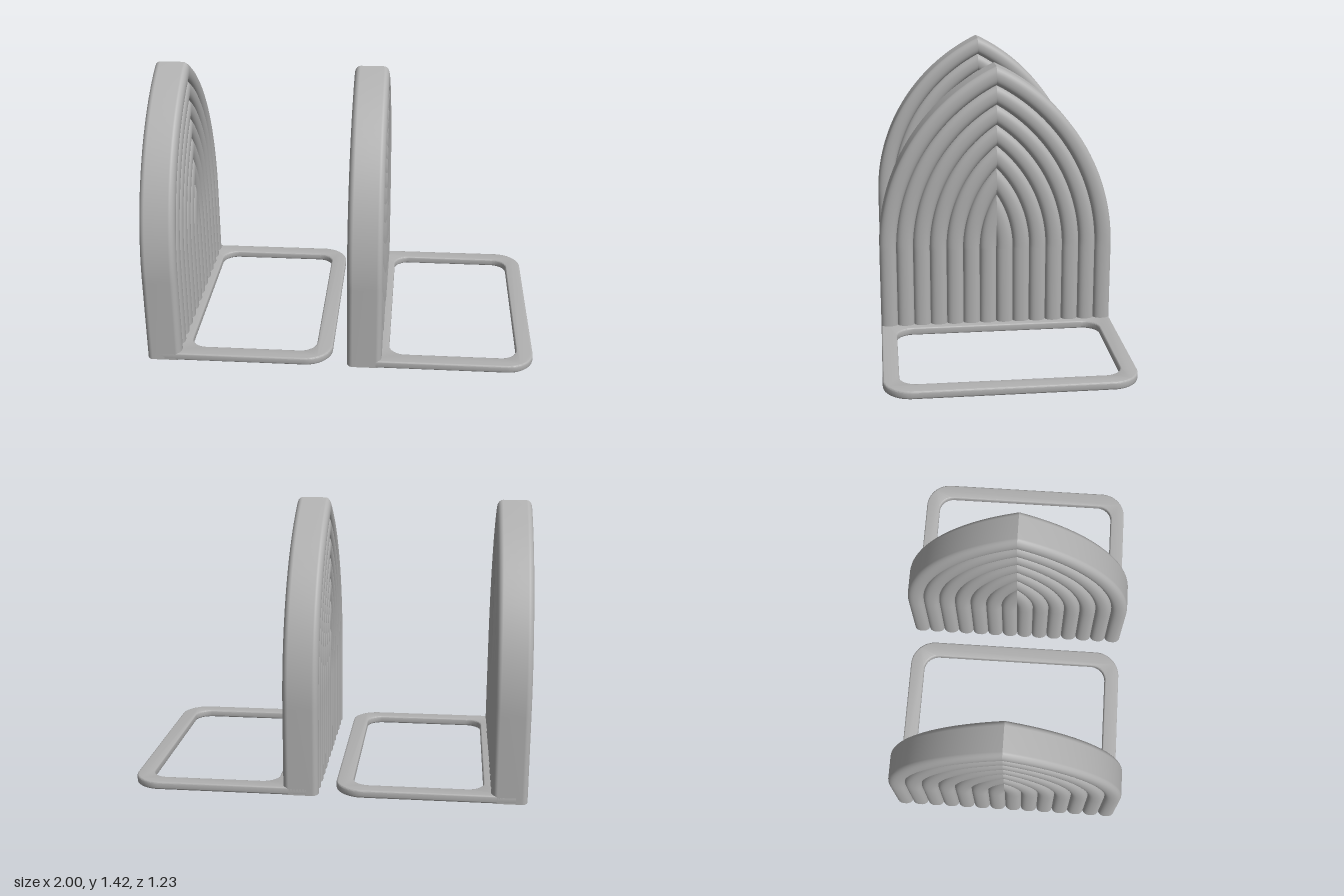
import * as THREE from 'three';
import { mergeGeometries, toCreasedNormals } from 'three/addons/utils/BufferGeometryUtils.js';

const HALF = 0.615;          // half width of the arch
const SPRING = 0.45;         // height where the sides begin to curve
const APEX = 1.42;
const RISE = APEX - SPRING;
const R = (HALF * HALF + RISE * RISE) / (2 * HALF);  // arc radius of the pointed arch
const RIDGES = 7, PITCH = HALF / RIDGES;
const THICK = 0.18, DEPTH = 0.03;                    // slab thickness, groove depth
const LENGTH = 0.96, BASE_H = 0.04;

// Half-round ridge profile from its inner groove to its outer one: [inset, x]
function ridgeProfile(k, steps = 12) {
  const pts = [];
  for (let i = 0; i <= steps; i++) {
    const u = -Math.cos((Math.PI * i) / steps);
    const d = (k + 0.5 - u / 2) * PITCH;
    const h = Math.sqrt(Math.max(0, 1 - Math.pow(Math.abs(u), 2.3)));
    pts.push([d, THICK / 2 - DEPTH + DEPTH * h]);
  }
  return pts;
}

// Sweep a section up one side of the pointed arch to the centre line
function sweep(section, side, arcSteps = 28) {
  const pos = [], index = [], rows = arcSteps + 2;
  for (const [d, x] of section) {
    const r = R - d;
    const end = Math.acos(Math.min(1, (R - HALF) / r));
    pos.push(x, 0, side * (HALF - d));
    for (let j = 0; j <= arcSteps; j++) {
      const a = (end * j) / arcSteps;
      pos.push(x, SPRING + r * Math.sin(a), side * (HALF - R + r * Math.cos(a)));
    }
  }
  for (let i = 0; i < section.length - 1; i++) {
    for (let j = 0; j < rows - 1; j++) {
      const a = i * rows + j, b = a + 1, c = a + rows, e = c + 1;
      if (side > 0) index.push(a, b, c, b, e, c);
      else index.push(a, c, b, b, c, e);
    }
  }
  const g = new THREE.BufferGeometry();
  g.setAttribute('position', new THREE.Float32BufferAttribute(pos, 3));
  g.setIndex(index);
  g.computeVertexNormals();
  return g;
}

const mirrorX = (pts) => pts.map(([d, x]) => [d, -x]).reverse();

// Ridged arch: both faces and the outer wall
function archGeometry() {
  const parts = [];
  for (const side of [1, -1]) {
    for (let k = 0; k < RIDGES; k++) {
      const front = ridgeProfile(k), back = mirrorX(front);
      if (k === 0) parts.push(sweep([...front, ...back], side));
      else parts.push(sweep(front, side), sweep(back, side));
    }
  }
  return mergeGeometries(parts);
}

// Flat scalloped underside of the arch
function archBottomGeometry() {
  const half = [];
  for (let k = RIDGES - 1; k >= 0; k--) half.push(...ridgeProfile(k).slice(k === RIDGES - 1 ? 0 : 1));
  const right = half.map(([d, x]) => new THREE.Vector2(x, HALF - d));
  const left = half.slice(1).reverse().map(([d, x]) => new THREE.Vector2(x, d - HALF));
  const front = [...left, ...right];
  const back = front.map((p) => new THREE.Vector2(-p.x, p.y)).reverse();
  return new THREE.ShapeGeometry(new THREE.Shape([...front, ...back])).rotateX(Math.PI / 2);
}

// Rectangle with separate radii for its low-x and high-x corners
function roundedRect(path, x0, x1, h, r0, r1) {
  path.moveTo(x0 + r0, -h);
  path.lineTo(x1 - r1, -h);
  path.absarc(x1 - r1, -h + r1, r1, -Math.PI / 2, 0, false);
  path.lineTo(x1, h - r1);
  path.absarc(x1 - r1, h - r1, r1, 0, Math.PI / 2, false);
  path.lineTo(x0 + r0, h);
  if (r0 > 0) path.absarc(x0 + r0, h - r0, r0, Math.PI / 2, Math.PI, false);
  path.lineTo(x0, -h + r0);
  if (r0 > 0) path.absarc(x0 + r0, -h + r0, r0, Math.PI, Math.PI * 1.5, false);
  return path;
}

// Open frame foot with softened edges
function baseGeometry() {
  const bevel = 0.008;
  const shape = roundedRect(new THREE.Shape(), 0.06, LENGTH, HALF, 0, 0.14);
  shape.holes.push(roundedRect(new THREE.Path(), 0.215, 0.875, 0.535, 0.085, 0.085));
  const g = new THREE.ExtrudeGeometry(shape, {
    depth: BASE_H - 2 * bevel, bevelEnabled: true, bevelThickness: bevel,
    bevelSize: bevel, bevelOffset: -bevel, bevelSegments: 3, curveSegments: 14,
  });
  g.rotateX(Math.PI / 2).translate(0, BASE_H - bevel, 0);
  return toCreasedNormals(g, 0.7);
}

export function createModel() {
  const grey = new THREE.MeshStandardMaterial({ color: 0xb0b0b0 });
  grey.name = 'grey';
  const parts = {
    ridgedArch: archGeometry().translate(THICK / 2, 0, 0),
    archUnderside: archBottomGeometry().translate(THICK / 2, 0, 0),
    baseFrame: baseGeometry(),
  };
  const model = new THREE.Group();
  model.name = 'bookends';
  for (const [name, x] of [['rightBookend', -1], ['leftBookend', 1 - LENGTH]]) {
    const bookend = new THREE.Group();
    bookend.name = name;
    bookend.position.x = x;
    for (const [part, geometry] of Object.entries(parts)) {
      const mesh = new THREE.Mesh(geometry, grey);
      mesh.name = part;
      bookend.add(mesh);
    }
    model.add(bookend);
  }
  return model;
}
